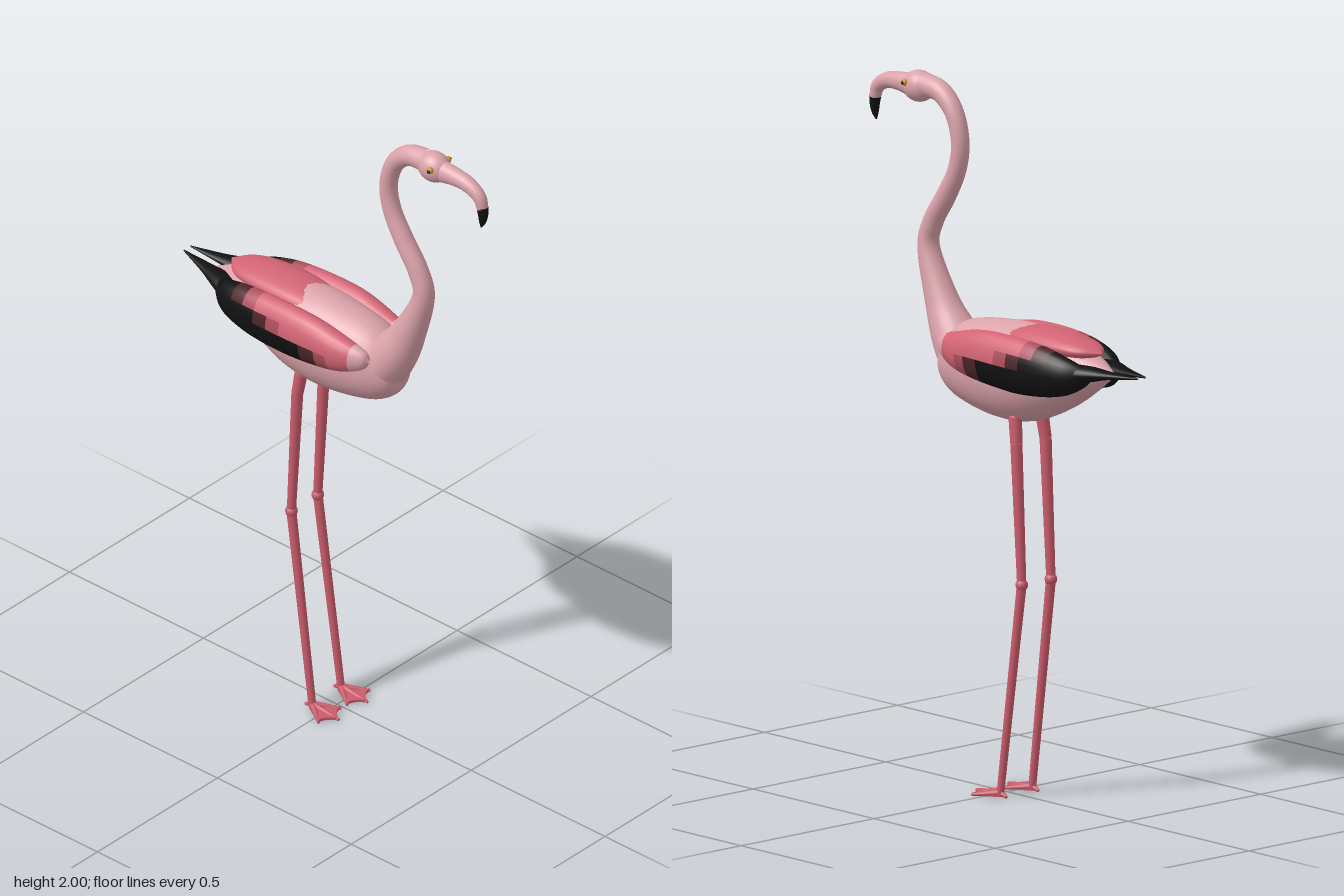
import * as THREE from 'three';

const mat = (name, color) => Object.assign(new THREE.MeshStandardMaterial({ color }), { name });
const V = (x, y, z) => new THREE.Vector3(x, y, z);

export function createModel() {
  const pale = mat('palePink', 0xdba3aa);
  const coral = mat('coral', 0xd26474);
  const rose = mat('deepRose', 0xad505d);
  const brown = mat('darkBrown', 0x4c2528);
  const black = mat('black', 0x111112);
  const leg = mat('legPink', 0xcc5c6c);
  const gold = mat('gold', 0xc8952c);

  const model = new THREE.Group();
  model.name = 'wadingBird';
  const add = (name, geometry, material, parent = model) => {
    const m = new THREE.Mesh(geometry, material);
    m.name = name;
    parent.add(m);
    return m;
  };

  // Smooth skin over elliptical sections [x, y, z, halfWidth, halfHeight].
  // upright keeps every section facing z; pick chooses a material index per face.
  function loft(sections, { rings = 40, sides = 24, upright = false, pick = () => 0 } = {}) {
    const path = new THREE.CatmullRomCurve3(sections.map(s => V(s[0], s[1], s[2])), false, 'catmullrom');
    const size = new THREE.CatmullRomCurve3(sections.map(s => V(s[3], s[4], 0)), false, 'catmullrom');
    const positions = [], buckets = [];
    for (let i = 0; i <= rings; i++) {
      const c = path.getPoint(i / rings), r = size.getPoint(i / rings);
      const t = upright ? V(0, 0, -1) : path.getTangent(i / rings);
      const n = t.cross(V(1, 0, 0)).normalize();
      for (let j = 0; j < sides; j++) {
        const a = (j / sides) * Math.PI * 2;
        const p = c.clone().addScaledVector(n, Math.sin(a) * Math.max(r.y, 0.001));
        positions.push(p.x + Math.cos(a) * Math.max(r.x, 0.001), p.y, p.z);
      }
    }
    for (let i = 0; i < rings; i++) {
      const z = path.getPoint((i + 0.5) / rings).z;
      for (let j = 0; j < sides; j++) {
        const k = (j + 1) % sides, a = i * sides, b = a + sides;
        const height = -Math.sin(((j + 0.5) / sides) * Math.PI * 2);
        (buckets[pick(z, height)] ??= []).push(a + j, a + k, b + j, a + k, b + k, b + j);
      }
    }
    const g = new THREE.BufferGeometry();
    g.setAttribute('position', new THREE.Float32BufferAttribute(positions, 3));
    g.setIndex(buckets.flat());
    let start = 0;
    buckets.forEach((b, m) => { g.addGroup(start, b.length, m); start += b.length; });
    g.computeVertexNormals();
    return g;
  }

  // Tapered limb between two points
  function limb(name, from, to, r0, r1, material, parent) {
    const d = to.clone().sub(from);
    const m = add(name, new THREE.CylinderGeometry(r1, r0, d.length(), 14), material, parent);
    m.position.copy(from).addScaledVector(d, 0.5);
    m.quaternion.setFromUnitVectors(V(0, 1, 0), d.normalize());
  }

  // Body with pointed tail
  add('body', loft([
    [0, 1.2, 0.243, 0.004, 0.004],
    [0, 1.2, 0.225, 0.056, 0.062],
    [0, 1.21, 0.15, 0.096, 0.115],
    [0, 1.21, 0, 0.115, 0.14],
    [0, 1.217, -0.13, 0.113, 0.135],
    [0, 1.235, -0.26, 0.088, 0.098],
    [0, 1.253, -0.36, 0.054, 0.053],
    [0, 1.265, -0.445, 0.003, 0.004],
  ], { upright: true, sides: 32 }), pale);

  // Feathers over the back
  add('backFeathers', loft([
    [0, 1.3, 0.06, 0.004, 0.004],
    [0, 1.31, 0, 0.05, 0.022],
    [0, 1.322, -0.12, 0.073, 0.032],
    [0, 1.32, -0.25, 0.072, 0.033],
    [0, 1.317, -0.34, 0.052, 0.022],
    [0, 1.316, -0.393, 0.003, 0.003],
  ], { upright: true }), coral);

  // Neck
  add('neck', loft([
    [0, 1.19, 0.15, 0.08, 0.08],
    [0, 1.27, 0.215, 0.066, 0.068],
    [0, 1.36, 0.268, 0.046, 0.05],
    [0, 1.5, 0.322, 0.032, 0.032],
    [0, 1.58, 0.303, 0.029, 0.03],
    [0, 1.66, 0.25, 0.028, 0.029],
    [0, 1.74, 0.206, 0.026, 0.027],
    [0, 1.82, 0.192, 0.026, 0.026],
    [0, 1.9, 0.215, 0.027, 0.027],
    [0, 1.952, 0.27, 0.03, 0.03],
    [0, 1.963, 0.34, 0.034, 0.034],
  ], { rings: 60 }), pale);

  // Head and eyes
  const head = add('head', new THREE.SphereGeometry(1, 28, 20), pale);
  head.scale.set(0.041, 0.045, 0.052);
  head.position.set(0, 1.955, 0.362);
  for (const s of [1, -1]) {
    const side = s > 0 ? 'left' : 'right';
    add(side + 'Eye', new THREE.SphereGeometry(0.01, 14, 10), gold).position.set(s * 0.037, 1.967, 0.38);
    add(side + 'Pupil', new THREE.SphereGeometry(0.006, 12, 8), black).position.set(s * 0.043, 1.967, 0.381);
  }

  // Down-curved beak and its black tip
  add('beak', loft([
    [0, 1.952, 0.385, 0.028, 0.034],
    [0, 1.955, 0.44, 0.025, 0.027],
    [0, 1.95, 0.49, 0.022, 0.023],
    [0, 1.928, 0.53, 0.019, 0.02],
    [0, 1.895, 0.543, 0.017, 0.016],
  ]), pale);
  add('beakTip', loft([
    [0, 1.9, 0.542, 0.017, 0.017],
    [0, 1.875, 0.545, 0.015, 0.014],
    [0, 1.85, 0.543, 0.01, 0.01],
    [0, 1.83, 0.538, 0.002, 0.002],
  ], { rings: 14 }), black);

  // Wing colour bands: they start further forward on the lower rows
  const band = (z, height) => {
    const e = z - (height > 0.45 ? 0 : height > 0 ? 0.1 : 0.27);
    if (z > 0.14) return 0;
    return e > -0.2 ? 1 : e > -0.24 ? 2 : e > -0.29 ? 3 : 4;
  };

  for (const s of [1, -1]) {
    const side = s > 0 ? 'left' : 'right';

    // Folded wing and long flight feathers
    add(side + 'Wing', loft([
      [s * 0.08, 1.265, 0.19, 0.003, 0.003],
      [s * 0.083, 1.263, 0.17, 0.022, 0.03],
      [s * 0.09, 1.258, 0.1, 0.04, 0.055],
      [s * 0.095, 1.26, 0, 0.046, 0.074],
      [s * 0.095, 1.257, -0.12, 0.046, 0.08],
      [s * 0.09, 1.255, -0.24, 0.046, 0.073],
      [s * 0.08, 1.253, -0.33, 0.037, 0.054],
      [s * 0.062, 1.255, -0.38, 0.022, 0.03],
      [s * 0.045, 1.26, -0.41, 0.003, 0.003],
    ], { upright: true, rings: 80, pick: band }), [pale, coral, rose, brown, black]);
    add(side + 'FlightFeathers', loft([
      [s * 0.08, 1.255, -0.28, 0.04, 0.03],
      [s * 0.05, 1.264, -0.38, 0.037, 0.024],
      [s * 0.032, 1.27, -0.46, 0.021, 0.011],
      [s * 0.014, 1.275, -0.56, 0.002, 0.002],
    ], { upright: true, rings: 20 }), black);

    // Leg
    const group = new THREE.Group();
    group.name = side + 'Leg';
    model.add(group);
    const hip = V(s * 0.05, 1.09, -0.09), bend = V(s * 0.055, 1.02, -0.1);
    const knee = V(s * 0.055, 0.62, -0.122), ankle = V(s * 0.06, 0.015, -0.04);
    add('hip', new THREE.SphereGeometry(0.019, 14, 10), leg, group).position.copy(hip);
    limb('thigh', hip, bend, 0.019, 0.017, leg, group);
    limb('upperLeg', bend, knee, 0.017, 0.013, leg, group);
    add('knee', new THREE.SphereGeometry(0.018, 14, 10), leg, group).position.copy(knee);
    limb('lowerLeg', knee, ankle, 0.014, 0.011, leg, group);

    // Webbed foot with three front toes and a short hind toe
    const web = new THREE.Shape();
    web.moveTo(-0.008, 0.045);
    web.lineTo(-0.048, -0.025);
    web.quadraticCurveTo(-0.02, -0.022, 0, -0.06);
    web.quadraticCurveTo(0.02, -0.022, 0.048, -0.025);
    web.lineTo(0.008, 0.045);
    const foot = add('web', new THREE.ExtrudeGeometry(web, { depth: 0.008, bevelEnabled: false }), leg, group);
    foot.rotation.x = -Math.PI / 2;
    foot.position.set(s * 0.06, 0.003, 0);
    for (const [x, z] of [[-0.048, 0.027], [0, 0.06], [0.048, 0.027], [0, -0.065]])
      limb('toe', V(s * 0.06, 0.014, -0.04), V(s * 0.06 + x, 0.005, z), 0.01, 0.004, leg, group);
  }

  return model;
}
